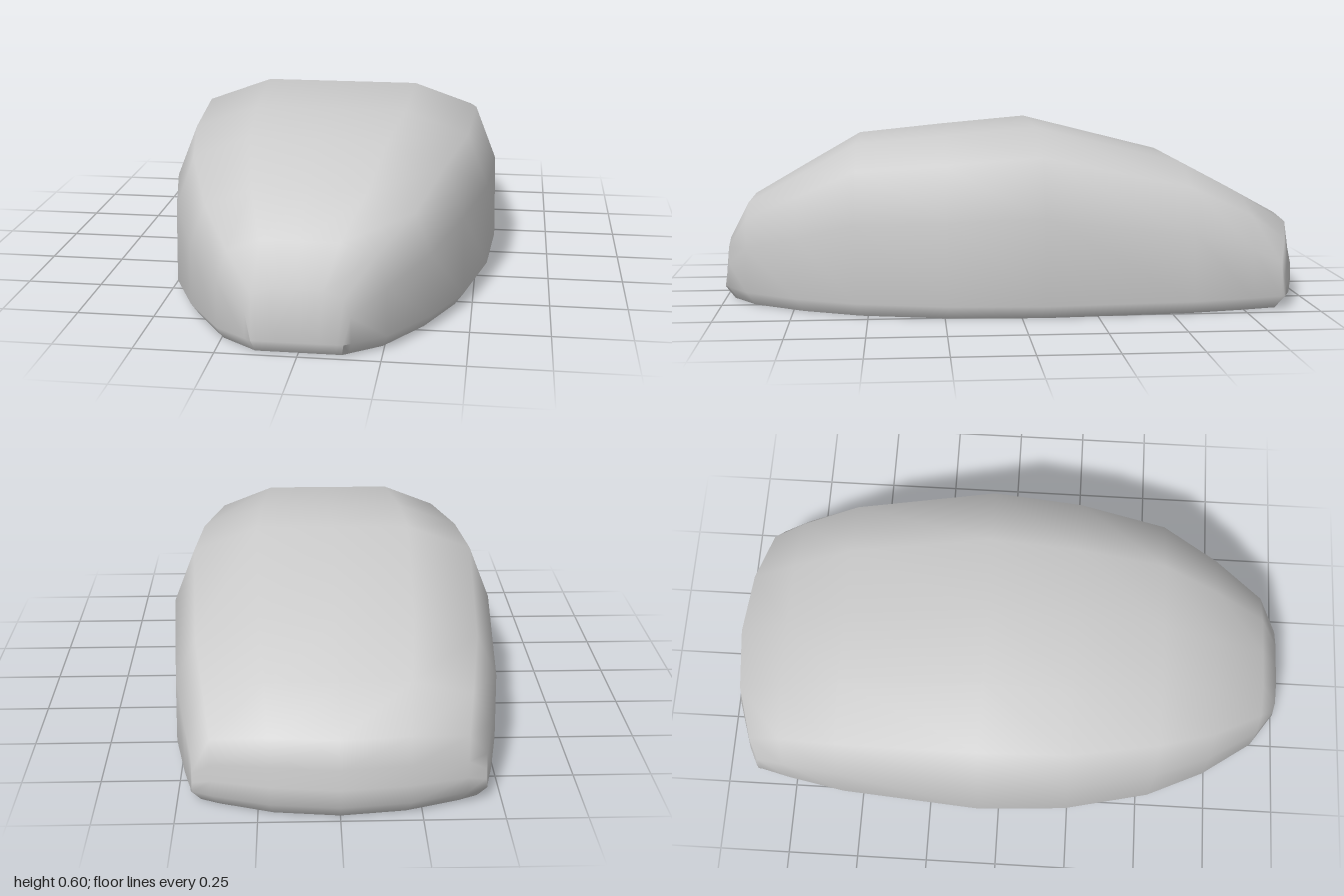
import * as THREE from 'three';

// Half cross-section: [fraction of half width, fraction of height above the rim]
const HALF = [[1, 0], [0.99, 0.52], [0.86, 0.855], [0.47, 1]];
const RIM_Y = 0.05;
const LIP_Y = 0.005;

// Stations from nose to tail: [z, half width, height, backward bow of the tail]
const STATIONS = [
  [1.0, 0.14, 0.05, 0],
  [0.985, 0.16, 0.21, 0],
  [0.915, 0.26, 0.34, 0],
  [0.74, 0.38, 0.438, 0],
  [0.54, 0.472, 0.55, 0],
  [0.24, 0.54, 0.578, 0],
  [-0.07, 0.56, 0.605, 0],
  [-0.57, 0.522, 0.48, 0],
  [-0.79, 0.482, 0.364, 0.015],
  [-0.97, 0.457, 0.265, 0.095],
  [-0.985, 0.456, 0.17, 0.1],
  [-1.0, 0.455, 0.11, 0.11],
  [-1.0, 0.455, 0.05, 0.11],
];

// One full section, from the left lip over the top to the right lip
function section([z, w, h, bow], isLip) {
  const half = HALF.map(([fx, fy]) => {
    const zz = z + bow * fx * fx;
    return isLip
      ? [fx * w * 0.94, LIP_Y, zz * 0.968]
      : [fx * w, RIM_Y + (h - RIM_Y) * fy, zz];
  });
  half.unshift([w * 0.94, LIP_Y, (z + bow) * 0.968]);
  const top = isLip ? LIP_Y : h;
  const middle = [0, top, isLip ? z * 0.968 : z];
  const mirrored = half.map(([x, y, pz]) => [-x, y, pz]).reverse();
  return [...half, middle, ...mirrored];
}

function shellGeometry() {
  // The first and last sections fold under to form the lip
  const rows = [
    section(STATIONS[0], true),
    ...STATIONS.map((s) => section(s, false)),
    section(STATIONS[STATIONS.length - 1], true),
  ];
  const n = rows[0].length;
  const index = [];
  for (let i = 0; i < rows.length - 1; i++) {
    for (let j = 0; j < n - 1; j++) {
      const a = i * n + j, b = a + 1, c = a + n, d = c + 1;
      index.push(a, c, b, b, c, d);
    }
  }
  const geometry = new THREE.BufferGeometry();
  geometry.setAttribute('position', new THREE.Float32BufferAttribute(rows.flat(2), 3));
  geometry.setIndex(index);
  geometry.computeVertexNormals();
  return geometry;
}

export function createModel() {
  const group = new THREE.Group();
  // Hollow domed shell, open underneath
  const shell = new THREE.Mesh(
    shellGeometry(),
    new THREE.MeshStandardMaterial({ color: 0xcccccc, side: THREE.DoubleSide })
  );
  shell.name = 'shell';
  group.add(shell);
  return group;
}
